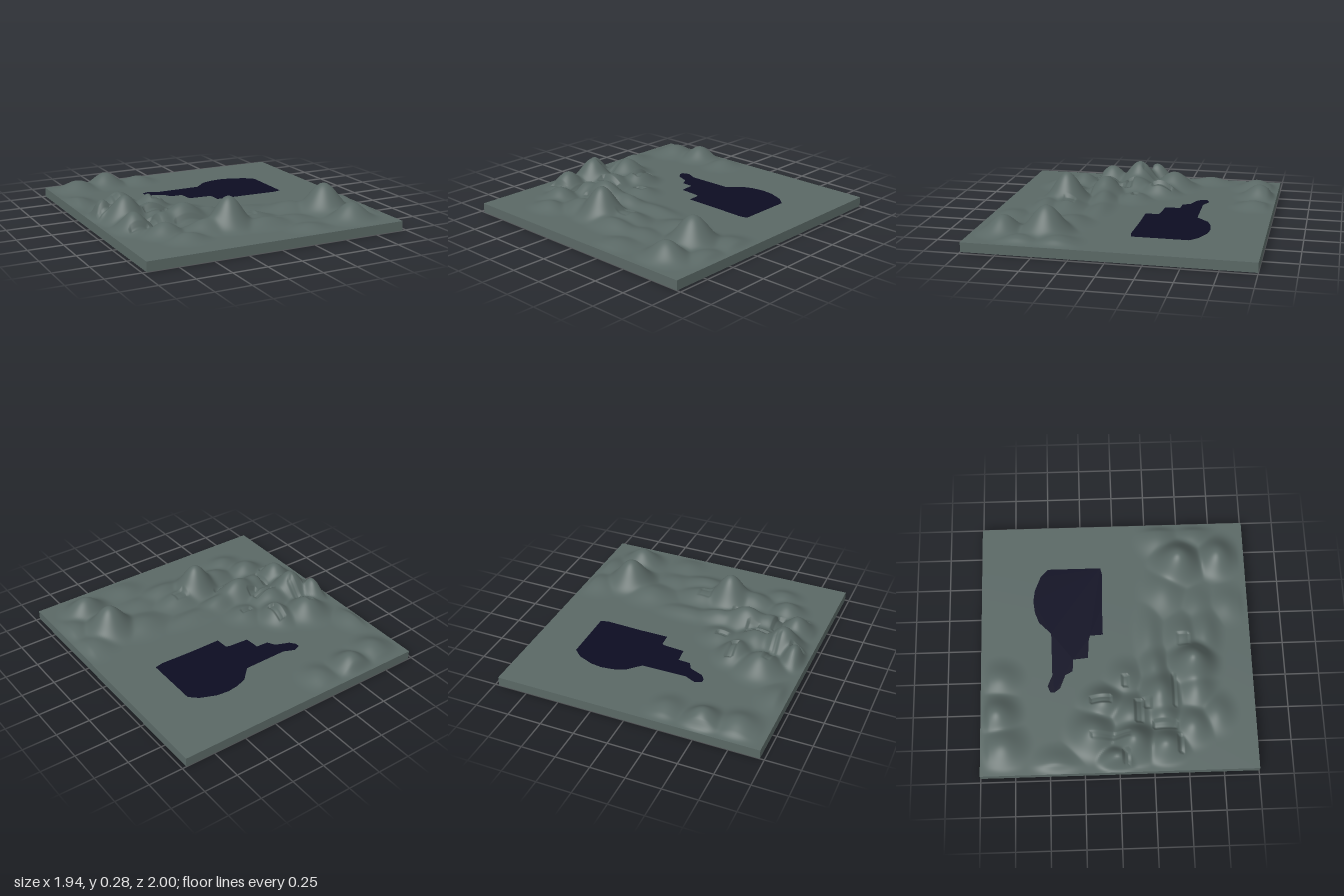
import * as THREE from 'three';

const W = 1.94, D = 2, BASE = 0.07;

// hills: x, z, height above the plain, x radius, z radius
const HILLS = [
  [-0.17, 0.56, 0.215, 0.25, 0.25], [0.64, 0.49, 0.195, 0.27, 0.27],
  [0.68, 0.79, 0.12, 0.25, 0.22], [-0.75, 0.11, 0.18, 0.24, 0.24],
  [-0.78, 0.34, 0.125, 0.2, 0.22], [-0.87, -0.01, 0.135, 0.15, 0.2],
  [-0.68, -0.18, 0.125, 0.26, 0.26], [-0.46, -0.1, 0.11, 0.2, 0.24],
  [-0.4, 0.31, 0.135, 0.3, 0.22], [-0.55, 0.1, 0.1, 0.26, 0.26],
  [-0.57, 0.33, 0.09, 0.18, 0.2], [-0.28, 0.06, 0.05, 0.22, 0.2],
  [-0.2, 0.28, 0.07, 0.28, 0.16], [0.05, 0.25, 0.035, 0.4, 0.15],
  [0.03, 0.5, 0.065, 0.3, 0.2], [0.06, 0.66, 0.06, 0.34, 0.18],
  [-0.35, 0.58, 0.08, 0.28, 0.2], [-0.64, 0.54, 0.085, 0.22, 0.2],
  [-0.55, 0.72, 0.05, 0.22, 0.18], [0.42, 0.38, 0.055, 0.3, 0.24],
  [0.3, 0.62, 0.03, 0.25, 0.18], [0.3, 0.85, 0.03, 0.22, 0.2],
  [0.85, 0.36, 0.045, 0.24, 0.24], [0.86, 0.62, 0.04, 0.2, 0.24],
  [-0.52, -0.87, 0.1, 0.22, 0.22], [-0.76, -0.83, 0.07, 0.24, 0.24],
  [-0.25, -0.85, 0.045, 0.2, 0.22], [-0.89, -0.45, 0.04, 0.18, 0.24]
];

// small broken ledges cut into the hills: x0, x1, z0, z1, drop
const LEDGES = [
  [-0.47, -0.41, -0.2, -0.05, 0.03], [-0.74, -0.7, -0.2, 0.08, 0.012],
  [-0.92, -0.82, 0.03, 0.07, 0.025], [-0.62, -0.45, 0.12, 0.18, 0.025],
  [-0.66, -0.61, 0.25, 0.42, 0.025], [-0.85, -0.72, 0.43, 0.46, 0.02],
  [-0.34, -0.25, 0.04, 0.08, 0.02], [-0.51, -0.44, 0.19, 0.24, 0.02],
  [-0.04, 0.06, 0.46, 0.54, 0.012], [-0.5, -0.25, 0.4, 0.43, 0.015]
];

// shoreline of the lake as x, z pairs
const SHORE = [
  [-0.36, -0.49], [-0.31, -0.51], [-0.23, -0.475], [0.1, -0.48], [0.19, -0.57],
  [0.27, -0.6], [0.36, -0.612], [0.45, -0.6], [0.56, -0.555], [0.62, -0.5],
  [0.62, -0.1], [0.56, -0.087], [0.3, -0.095], [0.08, -0.095], [0.075, -0.19],
  [0.05, -0.2], [-0.1, -0.21], [-0.11, -0.32], [-0.2, -0.325], [-0.23, -0.38],
  [-0.33, -0.42], [-0.36, -0.46]
];

// blend the hills with a soft maximum, flattened at the border
function heightAt(x, z) {
  let sum = 0;
  for (const [cx, cz, h, rx, rz] of HILLS) {
    const r = Math.hypot((x - cx) / rx, (z - cz) / rz);
    if (r < 1) sum += (h * ((1 + Math.cos(Math.PI * r)) / 2) ** 1.4) ** 3;
  }
  let y = Math.cbrt(sum);
  for (const [x0, x1, z0, z1, drop] of LEDGES) {
    if (x > x0 && x < x1 && z > z0 && z < z1) y = Math.max(0, y - drop);
  }
  const edge = Math.min(W / 2 - Math.abs(x), D / 2 - Math.abs(z));
  return BASE + y * THREE.MathUtils.smoothstep(edge, -0.01, 0.07);
}

export function createModel() {
  const group = new THREE.Group();
  const stone = new THREE.MeshStandardMaterial({ color: 0x5a6865 });
  stone.name = 'greyGreenStone';
  const water = new THREE.MeshStandardMaterial({ color: 0x0c0c22 });
  water.name = 'darkWater';

  const add = (name, geometry, material) => {
    const mesh = new THREE.Mesh(geometry, material);
    mesh.name = name;
    group.add(mesh);
    return mesh;
  };

  // flat slab under the land
  add('baseSlab', new THREE.BoxGeometry(W, BASE - 0.001, D), stone).position.y = (BASE - 0.001) / 2;

  // rolling land surface
  const land = new THREE.PlaneGeometry(W, D, 180, 186).rotateX(-Math.PI / 2);
  const p = land.attributes.position;
  for (let i = 0; i < p.count; i++) p.setY(i, heightAt(p.getX(i), p.getZ(i)));
  land.computeVertexNormals();
  add('hillyLand', land, stone);

  // thin water plate lying on the plain
  const outline = new THREE.Shape(SHORE.map(([x, z]) => new THREE.Vector2(x, -z)));
  const lake = new THREE.ExtrudeGeometry(outline, { depth: 0.004, bevelEnabled: false });
  lake.rotateX(-Math.PI / 2);
  add('lake', lake, water).position.y = BASE - 0.002;

  return group;
}
